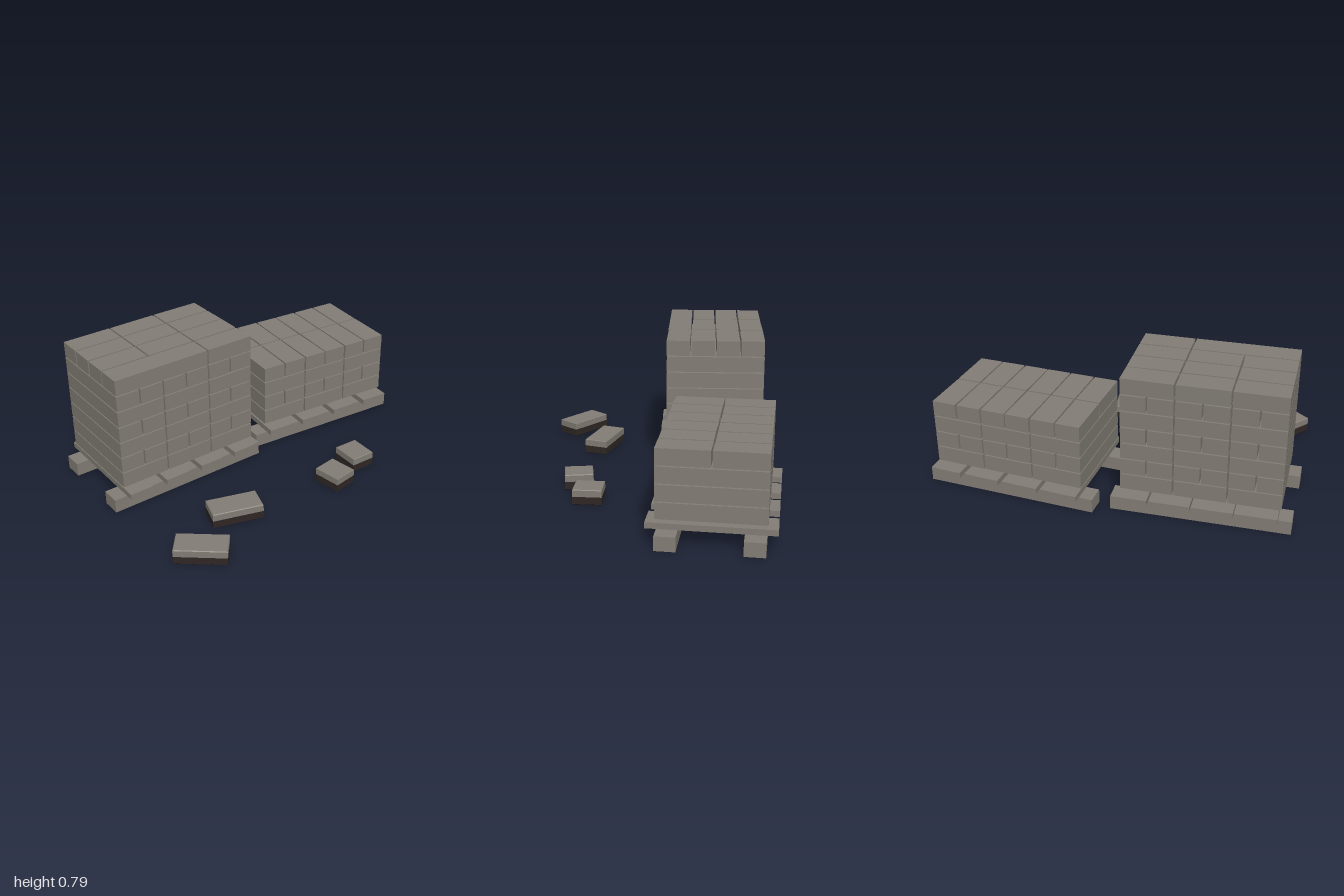
import * as THREE from 'three';

const stone = new THREE.MeshStandardMaterial({ color: 0x827d75 });
stone.name = 'stone';
const dark = new THREE.MeshStandardMaterial({ color: 0x2e2625 });
dark.name = 'darkUnderside';

// Box side order: +x, -x, top, bottom, +z, -z
const darkBelow = [stone, stone, stone, dark, stone, stone];

// Box standing on height y
function block(parent, name, w, h, d, x, y, z, turn = 0, material = darkBelow) {
  const mesh = new THREE.Mesh(new THREE.BoxGeometry(w, h, d), material);
  mesh.name = name;
  mesh.position.set(x, y + h / 2, z);
  mesh.rotation.y = turn;
  parent.add(mesh);
  return mesh;
}

// Draws in the top (side 1) or bottom (side -1) of a box to slope its walls
function chamfer(mesh, side, inset) {
  const p = mesh.geometry.attributes.position;
  for (let i = 0; i < p.count; i++) {
    if (p.getY(i) * side < 0) continue;
    p.setX(i, p.getX(i) - Math.sign(p.getX(i)) * inset);
    p.setZ(i, p.getZ(i) - Math.sign(p.getZ(i)) * inset);
  }
  mesh.geometry.computeVertexNormals();
}

const STACK_W = 0.853, STACK_D = 0.562, LAYER_H = 0.087, PITCH = 0.0933, STACK_Y = 0.143;
const GAP = 0.009;

// Two runners with four cross slats
function buildPallet() {
  const pallet = new THREE.Group();
  pallet.name = 'pallet';
  for (const z of [-0.218, 0.218]) block(pallet, 'runner', 0.96, 0.078, 0.108, 0, 0, z);
  for (let i = 0; i < 4; i++) block(pallet, 'slat', 0.14, 0.032, 0.654, (i - 1.5) * 0.227, 0.085, 0);
  return pallet;
}

// Grid of bricks; the front row may start with a double-length brick
function addLayer(stack, level, columns, rows, loose, doubleFront) {
  const w = STACK_W / columns, d = STACK_D / rows;
  const y = STACK_Y + level * PITCH;
  for (let r = 0; r < rows; r++) {
    for (let c = 0; c < columns; c++) {
      const span = doubleFront && r === rows - 1 && c === 0 ? 2 : 1;
      const turn = loose ? 0.009 * Math.sin(c * 2.3 + r * 4.1) : 0;
      block(stack, 'brick', w * span - GAP, LAYER_H, d - GAP,
        -STACK_W / 2 + w * (c + span / 2), y, -STACK_D / 2 + d * (r + 0.5), turn);
      c += span - 1;
    }
  }
}

// Alternating wide and narrow courses, with separate bricks in the top one
function buildLoadedPallet(name, layers, x, z, turn) {
  const group = new THREE.Group();
  group.name = name;
  group.add(buildPallet());
  const stack = new THREE.Group();
  stack.name = 'brickStack';
  for (let i = 0; i < layers; i++) {
    const wide = i % 2 === 0;
    const top = i === layers - 1;
    addLayer(stack, i, wide ? 3 : 6, top ? (wide ? 4 : 2) : 1, top, top && wide);
  }
  group.add(stack);
  group.position.set(x, 0, z);
  group.rotation.y = turn;
  return group;
}

export function createModel() {
  const model = new THREE.Group();
  model.name = 'brickPallets';
  model.add(buildLoadedPallet('tallPallet', 7, -0.51, -0.299, 0.04));
  model.add(buildLoadedPallet('lowPallet', 4, 0.503, -0.357, -0.056));

  // Loose bricks on the ground, dark in the lower half: x, z, width, depth, turn
  const looseBricks = [
    [-0.79, 0.564, 0.277, 0.141, -0.655],
    [-0.471, 0.38, 0.281, 0.141, -0.27],
    [0.167, 0.437, 0.139, 0.161, 0.18],
    [0.381, 0.348, 0.141, 0.161, 0],
  ];
  const edge = 0.004;
  for (const [x, z, w, d, turn] of looseBricks) {
    const brick = new THREE.Group();
    brick.name = 'looseBrick';
    chamfer(block(brick, 'lowerEdge', w, edge, d, 0, 0, 0, 0, dark), -1, edge);
    block(brick, 'lowerHalf', w, 0.042, d, 0, edge, 0, 0, dark);
    block(brick, 'upperHalf', w, 0.037, d, 0, 0.046, 0, 0, stone);
    chamfer(block(brick, 'upperEdge', w, edge, d, 0, 0.083, 0, 0, stone), 1, edge);
    brick.position.set(x, 0, z);
    brick.rotation.y = turn;
    model.add(brick);
  }
  return model;
}
